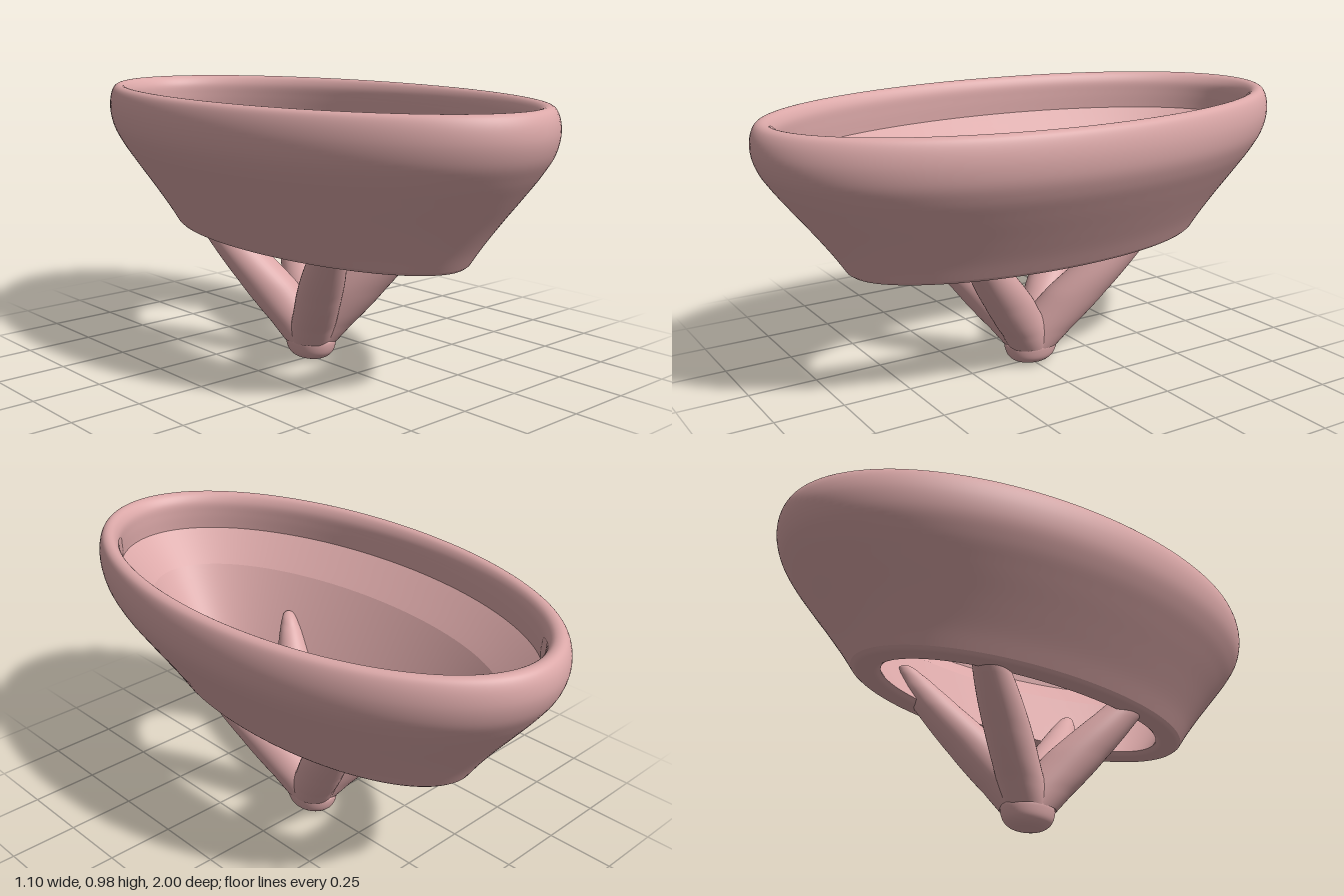
import * as THREE from 'three';

const material = new THREE.MeshStandardMaterial({ color: 0xdba8a8, side: THREE.DoubleSide });

// Skin over horizontal ellipses; each section is [y, x radius, z radius, z offset].
// Sections are smoothed along their length with a spline.
function loft(name, sections, steps, sides) {
  const sizes = new THREE.CatmullRomCurve3(
    sections.map(([y, rx, rz]) => new THREE.Vector3(rx, y, rz)), false, 'centripetal');
  const offsets = sections.map((s) => s[3] || 0);
  const positions = [];
  const index = [];
  for (let i = 0; i <= steps; i++) {
    const t = i / steps;
    const s = sizes.getPoint(t);
    const f = t * (sections.length - 1);
    const k = Math.min(Math.floor(f), sections.length - 2);
    const at = (n) => offsets[Math.max(0, Math.min(offsets.length - 1, n))];
    const offset = THREE.MathUtils.lerp(at(k), at(k + 1), f - k);
    for (let j = 0; j < sides; j++) {
      const a = (j / sides) * Math.PI * 2;
      positions.push(s.x * Math.cos(a), s.y, s.z * Math.sin(a) + offset);
      if (i === steps) continue;
      const p = i * sides + j;
      const q = i * sides + (j + 1) % sides;
      index.push(p, p + sides, q, q, p + sides, q + sides);
    }
  }
  const geometry = new THREE.BufferGeometry();
  geometry.setAttribute('position', new THREE.Float32BufferAttribute(positions, 3));
  geometry.setIndex(index);
  geometry.computeVertexNormals();
  const mesh = new THREE.Mesh(geometry, material);
  mesh.name = name;
  return mesh;
}

export function createModel() {
  const model = new THREE.Group();
  model.name = 'ovalBowlOnLegs';

  // Oval bowl, split where its surface has a crease
  const bowl = new THREE.Group();
  bowl.name = 'bowl';
  bowl.add(
    loft('bowlUnderside', [
      [0.46, 0.22, 0.60], [0.446, 0.235, 0.62], [0.444, 0.27, 0.665],
      [0.446, 0.295, 0.69], [0.458, 0.308, 0.708],
    ], 16, 128),
    loft('bowlOuterWallAndRim', [
      [0.458, 0.308, 0.708], [0.52, 0.348, 0.75], [0.60, 0.403, 0.81], [0.70, 0.472, 0.89],
      [0.77, 0.517, 0.944], [0.83, 0.543, 0.982], [0.89, 0.551, 0.999], [0.94, 0.546, 0.995],
      [0.97, 0.534, 0.98], [0.98, 0.515, 0.96], [0.973, 0.495, 0.935],
      [0.945, 0.481, 0.915], [0.90, 0.48, 0.912], [0.84, 0.483, 0.915],
    ], 70, 128),
    loft('bowlInnerSlope', [[0.84, 0.483, 0.915], [0.785, 0.427, 0.853], [0.73, 0.37, 0.79]], 6, 128),
    loft('bowlInnerFloor', [[0.73, 0.37, 0.79], [0.595, 0.295, 0.695], [0.46, 0.22, 0.60]], 6, 128),
  );
  model.add(bowl);

  // Four tapered legs spreading in an X from the foot
  const spread = 0.55;
  [spread, -spread, Math.PI + spread, Math.PI - spread].forEach((angle, i) => {
    const leg = loft('leg' + (i + 1), [
      [0.07, 0.08, 0.10, 0], [0.135, 0.08, 0.107, 0.048], [0.20, 0.08, 0.11, 0.105],
      [0.28, 0.08, 0.11, 0.172], [0.36, 0.076, 0.10, 0.247], [0.44, 0.066, 0.085, 0.322],
      [0.51, 0.052, 0.066, 0.38], [0.57, 0.034, 0.042, 0.424], [0.60, 0.02, 0.024, 0.444],
      [0.612, 0.0005, 0.0005, 0.45],
    ], 45, 40);
    leg.rotation.y = angle;
    model.add(leg);
  });

  // Rounded foot knob where the legs meet
  model.add(loft('foot', [
    [0, 0.0005, 0.0005], [0.002, 0.03, 0.04], [0.012, 0.058, 0.07], [0.03, 0.075, 0.09],
    [0.055, 0.083, 0.10], [0.075, 0.085, 0.102], [0.08, 0.08, 0.098], [0.085, 0.0005, 0.0005],
  ], 42, 64));

  return model;
}
